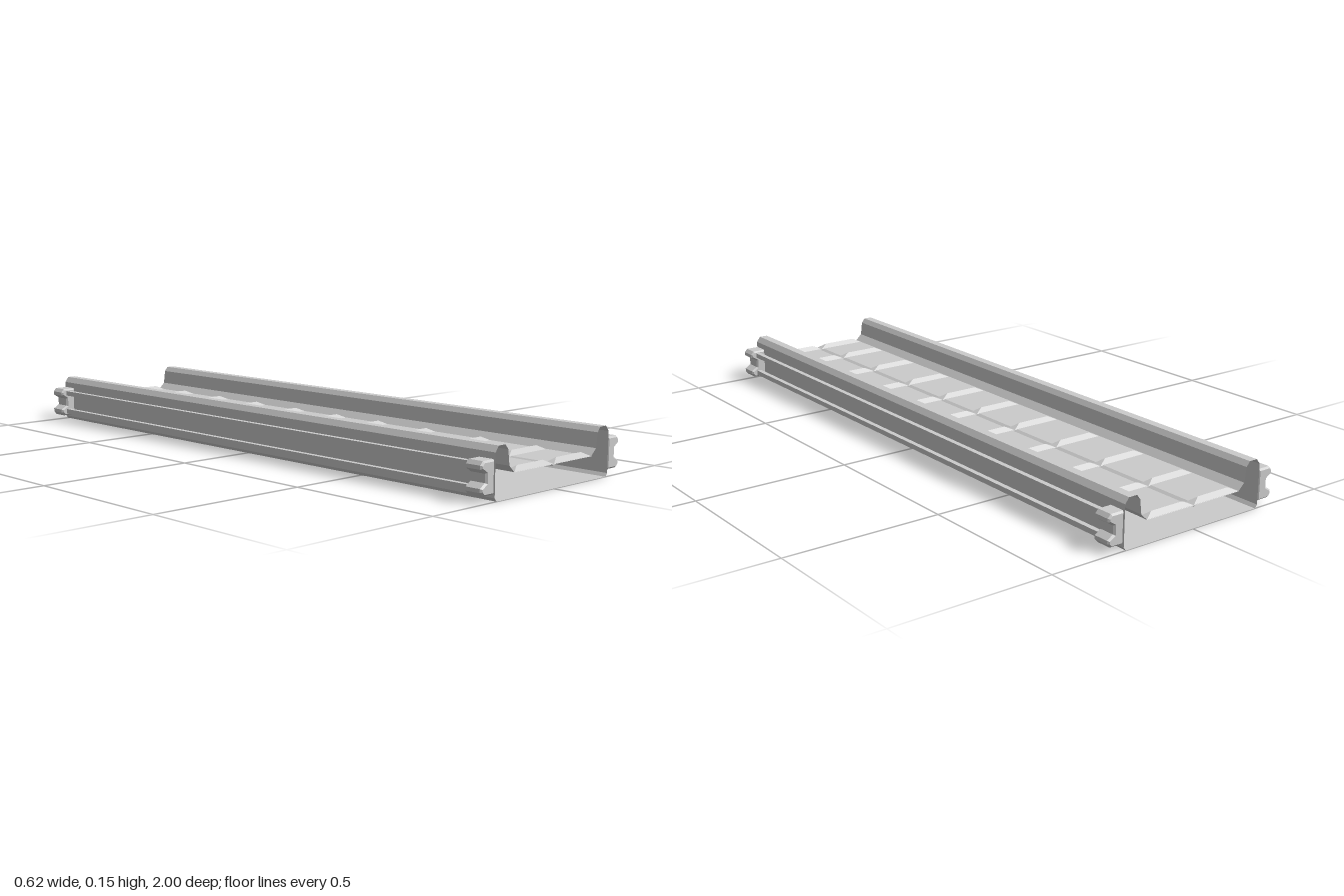
import * as THREE from 'three';
import { ConvexGeometry } from 'three/addons/geometries/ConvexGeometry.js';

const metal = new THREE.MeshStandardMaterial({ color: 0xcccccc, flatShading: true });
const sheet = new THREE.MeshStandardMaterial({ color: 0xcccccc, flatShading: true, side: THREE.DoubleSide });

function add(parent, name, geometry, material = metal) {
  const mesh = new THREE.Mesh(geometry, material);
  mesh.name = name;
  parent.add(mesh);
  return mesh;
}

// Open-ended shell: a closed counter-clockwise xy profile swept from z = -1 to z = 1
function openSweep(profile) {
  const pos = [];
  profile.forEach(([ax, ay], i) => {
    const [bx, by] = profile[(i + 1) % profile.length];
    pos.push(ax, ay, 1, bx, by, -1, bx, by, 1);
    pos.push(ax, ay, 1, ax, ay, -1, bx, by, -1);
  });
  const g = new THREE.BufferGeometry();
  g.setAttribute('position', new THREE.Float32BufferAttribute(pos, 3));
  g.computeVertexNormals();
  return g;
}

// Hipped tread rib: rectangular base rising to a shorter ridge
function ribGeometry(x0, x1, z) {
  const y0 = 0.069, y1 = 0.083, w = 0.016, hip = 0.03;
  return new ConvexGeometry([
    new THREE.Vector3(x0, y0, z - w), new THREE.Vector3(x1, y0, z - w),
    new THREE.Vector3(x0, y0, z + w), new THREE.Vector3(x1, y0, z + w),
    new THREE.Vector3(x0 + hip, y1, z), new THREE.Vector3(x1 - hip, y1, z),
  ]);
}

// Chamfered bracket block with a notch in its outer side
function bracketGeometry(side) {
  const half = [[0.256, 0.115], [0.3, 0.115], [0.31, 0.104], [0.31, 0.093], [0.29, 0.08]];
  const pts = [...half, ...half.slice().reverse().map(([x, y]) => [x, 0.135 - y])];
  const shape = new THREE.Shape(pts.map(([x, y]) => new THREE.Vector2(side * x, y)));
  const g = new THREE.ExtrudeGeometry(shape, {
    depth: 0.048, bevelEnabled: true, bevelSegments: 1,
    bevelSize: 0.005, bevelThickness: 0.006, bevelOffset: -0.005,
  });
  return g.translate(0, 0, -0.024);
}

export function createModel() {
  const group = new THREE.Group();
  group.name = 'walkway';

  // Channel body: flat underside, raised side rails, deck with a centre groove
  const right = [[0.247, 0], [0.255, 0.01], [0.255, 0.133], [0.242, 0.15], [0.214, 0.15],
    [0.202, 0.135], [0.196, 0.09], [0.175, 0.07], [0.01, 0.07]];
  const left = right.slice().reverse().map(([x, y]) => [-x, y]);
  add(group, 'channelBody', openSweep([...right, [0, 0.064], ...left]), sheet);

  // Tread ribs, two per row
  const ribs = new THREE.Group();
  ribs.name = 'treadRibs';
  for (const z of [-0.984, -0.805, -0.603, -0.4, -0.197, 0.003, 0.194, 0.4, 0.62, 0.828, 0.984]) {
    add(ribs, 'treadRib', ribGeometry(-0.175, 0, z));
    add(ribs, 'treadRib', ribGeometry(0, 0.175, z));
  }
  group.add(ribs);

  // End brackets and the pair of rods carried along each side
  for (const side of [-1, 1]) {
    const rail = new THREE.Group();
    rail.name = side > 0 ? 'leftSideRail' : 'rightSideRail';
    for (const end of [-1, 1]) {
      add(rail, end > 0 ? 'frontBracket' : 'backBracket', bracketGeometry(side)).position.z = end * 0.97;
    }
    for (const [name, y] of [['upperRod', 0.1], ['lowerRod', 0.035]]) {
      add(rail, name, new THREE.BoxGeometry(0.016, 0.016, 1.9)).position.set(side * 0.283, y, 0);
    }
    group.add(rail);
  }
  return group;
}
